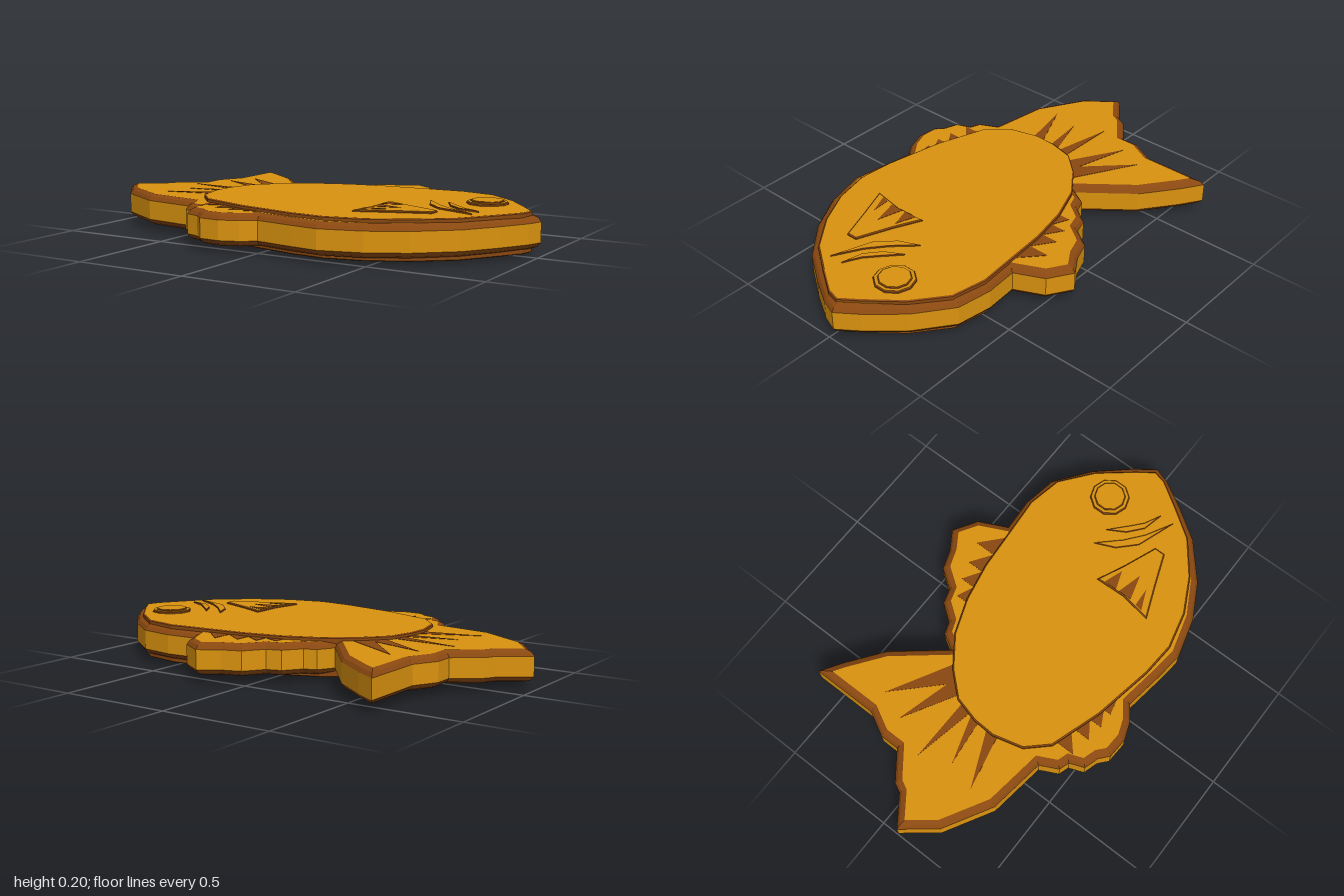
import * as THREE from 'three';

const gold = new THREE.MeshStandardMaterial({ color: 0xdb930f, flatShading: true });
const brown = new THREE.MeshStandardMaterial({ color: 0x8a4810, flatShading: true });
const V = (x, z) => new THREE.Vector2(x, -z);

// Outlines are [x, z] pairs, seen from above
const FISH = [
  [-.68, -.615], [-.585, -.555], [-.43, -.44], [-.255, -.225], [-.215, -.295], [-.16, -.315],
  [-.105, -.39], [-.04, -.41], [.02, -.495], [.105, -.525], [.19, -.58], [.295, -.515], [.355, -.39],
  [.5, -.4], [.655, -.375], [.81, -.26], [.935, -.12], [1, -.03], [.975, .04], [.905, .16], [.81, .3],
  [.655, .435], [.5, .52], [.32, .57], [.19, .555], [.02, .53], [-.04, .575], [-.12, .605], [-.215, .6],
  [-.255, .565], [-.32, .545], [-.345, .48], [-.39, .465], [-.43, .385], [-.68, .35], [-.89, .23],
  [-1, .09], [-.875, 0], [-.855, -.04], [-.735, -.13], [-.735, -.215], [-.68, -.32],
];
const BODY = [
  [.32, -.36], [.5, -.375], [.655, -.345], [.795, -.235], [.91, -.095], [.965, -.02], [.95, .04],
  [.875, .155], [.785, .285], [.64, .4], [.485, .48], [.32, .52], [.165, .51], [-.105, .46],
  [-.335, .385], [-.42, .295], [-.455, .16], [-.45, .06], [-.42, -.055], [-.33, -.155],
  [-.2, -.25], [-.04, -.31], [.135, -.345],
];
const PECTORAL = [[.38, .085], [.5, .14], [.655, .2], [.655, .25], [.51, .305], [.36, .365], [.385, .225]];

// Move a counter-clockwise outline inwards with mitred corners
function inset(pts, d) {
  const n = pts.length;
  const normal = (a, b) => new THREE.Vector2(a.y - b.y, b.x - a.x).normalize();
  return pts.map((p, i) => {
    const n1 = normal(pts[(i + n - 1) % n], p), n2 = normal(p, pts[(i + 1) % n]);
    return p.clone().addScaledVector(n1.clone().add(n2), d / (1 + n1.dot(n2)));
  });
}

// Slab symmetric about y = 0; steps are [inset, half height] from the side wall to the cap
function slab(name, outline, steps, capMat, wallMat) {
  let pts = outline.map(([x, z]) => V(x, z));
  if (THREE.ShapeUtils.area(pts) < 0) pts.reverse();
  const n = pts.length;
  const profile = [...steps.map(([d, h]) => [d, -h]).reverse(), ...steps];
  const rings = profile.map(([d, h]) => inset(pts, d).map((p) => [p.x, h, -p.y]));
  const verts = new Map([[gold, []], [brown, []]]);
  const tri = (mat, ...corners) => corners.forEach((c) => verts.get(mat).push(...c));

  // Side wall and bevels
  for (let r = 0; r + 1 < rings.length; r++) {
    const mat = r === steps.length - 1 ? wallMat : brown;
    for (let i = 0; i < n; i++) {
      const j = (i + 1) % n, a = rings[r], b = rings[r + 1];
      tri(mat, a[i], a[j], b[j]);
      tri(mat, a[i], b[j], b[i]);
    }
  }
  // Caps
  const bottom = rings[0], top = rings[rings.length - 1];
  const flat = top.map(([x, , z]) => V(x, z));
  for (const [a, b, c] of THREE.ShapeUtils.triangulateShape(flat, [])) {
    tri(capMat, top[a], top[b], top[c]);
    tri(capMat, bottom[a], bottom[c], bottom[b]);
  }

  const group = new THREE.Group();
  group.name = name;
  for (const [mat, list] of verts) {
    if (!list.length) continue;
    const geo = new THREE.BufferGeometry();
    geo.setAttribute('position', new THREE.Float32BufferAttribute(list, 3));
    geo.computeVertexNormals();
    const mesh = new THREE.Mesh(geo, mat);
    mesh.name = name + (mat === gold ? 'Surface' : 'Edge');
    group.add(mesh);
  }
  return group;
}

const disc = (cx, cz, r, sides) => Array.from({ length: sides }, (_, i) => {
  const a = ((i + .5) / sides) * Math.PI * 2;
  return [cx + r * Math.cos(a), cz + r * Math.sin(a)];
});

export function createModel() {
  const model = new THREE.Group();
  model.name = 'fish';
  const add = (...args) => model.add(slab(...args));

  // Silhouette with tail and fins, and the raised body
  add('finsAndTail', FISH, [[0, .042], [.011, .058], [.032, .068]], gold, gold);
  add('body', BODY, [[0, .08], [.006, .084]], gold, brown);

  // Rays on the tail, wide at the body and pointed outwards
  const tailRays = [
    [[-.58, -.32], [-.31, -.17], [-.37, -.11]],
    [[-.635, -.2], [-.36, -.125], [-.4, -.065]],
    [[-.71, -.035], [-.42, -.03], [-.42, .025]],
    [[-.65, .1], [-.43, .03], [-.43, .075]],
    [[-.69, .23], [-.43, .115], [-.43, .175]],
  ];
  tailRays.forEach((ray) => add('tailRay', ray, [[0, .0695]], brown, brown));

  // Teeth-like rays on the upper and lower fins
  [[.2, -.445, -.34], [.105, -.415, -.33], [.025, -.39, -.31], [-.05, -.355, -.295]].forEach(([x, tip, base]) =>
    add('dorsalRay', [[x, tip], [x + .095, base - .02], [x, base + .02]], [[0, .0695]], brown, brown));
  [[-.31, .475, .38], [-.22, .49, .41], [-.145, .498, .43], [-.075, .495, .45]].forEach(([x, tip, base]) =>
    add('bellyRay', [[x, tip], [x + .08, base + .025], [x, base]], [[0, .0695]], brown, brown));

  // Side fin with its rays
  add('sideFin', PECTORAL, [[0, .088], [.005, .092]], gold, brown);
  [[[.39, .12], [.475, .15], [.388, .18]], [[.39, .195], [.505, .225], [.39, .258]],
    [[.383, .29], [.47, .285], [.376, .325]]].forEach((ray) =>
    add('sideFinRay', ray, [[0, .0935]], brown, brown));

  // Gill crescents
  add('gill', [[.51, -.03], [.55, .06], [.625, .133], [.8, .193], [.68, .128], [.6, .064]],
    [[0, .09], [.003, .092]], gold, brown);
  add('gill', [[.595, -.025], [.64, .053], [.705, .107], [.8, .128], [.725, .091], [.675, .048]],
    [[0, .09], [.003, .092]], gold, brown);

  // Eye
  add('eyeRim', disc(.733, -.107, .088, 10), [[0, .09], [.004, .094]], gold, brown);
  add('eye', disc(.733, -.107, .07, 10), [[0, .097], [.004, .1]], gold, brown);

  model.position.y = .1;
  const root = new THREE.Group();
  root.add(model);
  return root;
}
